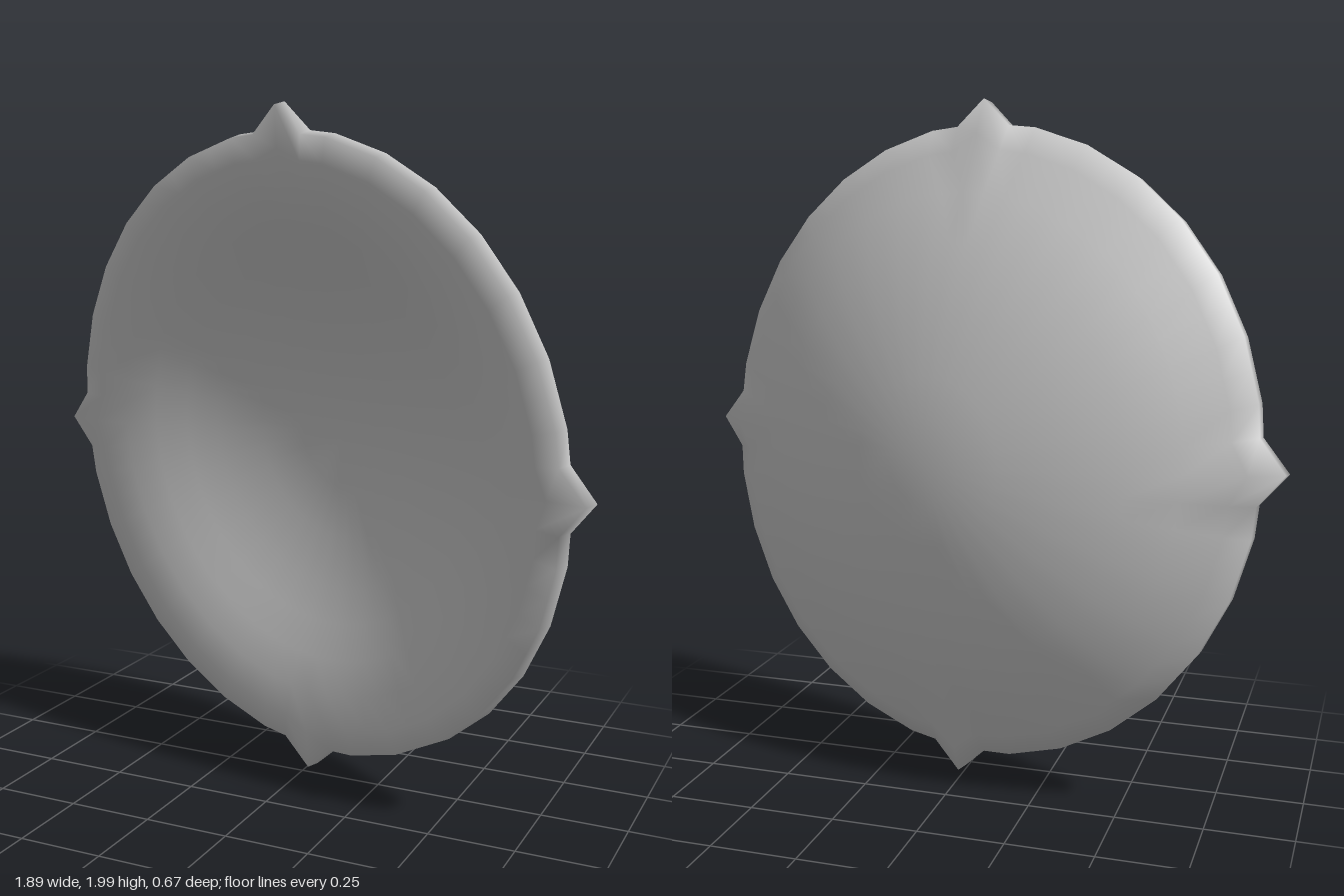
import * as THREE from 'three';
import { mergeVertices } from 'three/addons/utils/BufferGeometryUtils.js';

// Dish profile as [radius, height along the axis]: back skin from the pole to the rim ...
const BACK = [
  [0, -0.317], [0.12, -0.313], [0.24, -0.299], [0.42, -0.262], [0.6, -0.204], [0.74, -0.136], [0.86, -0.066],
];
// ... then over the rim and the broad lip into the shallower hollow
const FRONT = [
  [0.93, -0.022], [0.922, 0.022],
  [0.85, 0.022], [0.75, 0.002], [0.65, -0.037], [0.55, -0.08], [0.45, -0.122], [0.3, -0.17], [0.15, -0.197], [0, -0.205],
];
const PROFILE = [...BACK, ...FRONT];
const SEGMENTS = 64;
// How far each rim ring is pulled out at the four points (profile index: factor)
const PULL = { 6: 1.05, 7: 1.075, 8: 1.078, 9: 1.03 };
// Sideways lean of the back skin per unit of depth
const LEAN = 0.11;

function dishGeometry() {
  const points = PROFILE.map(([r, h]) => new THREE.Vector2(r, h));
  const geo = new THREE.LatheGeometry(points, SEGMENTS);
  const pos = geo.attributes.position;
  const n = points.length;
  for (let i = 0; i <= SEGMENTS; i++) {
    for (let j = 0; j < n; j++) {
      // Odd columns lie on the chords of a 32-sided outline; every 16th column is a pointed lug
      let k = i % 2 ? Math.cos(Math.PI / 32) : 1;
      if (i % 16 === 0 && PULL[j]) k = PULL[j];
      const lean = j < BACK.length ? LEAN * PROFILE[j][1] : 0;
      const v = i * n + j;
      pos.setX(v, pos.getX(v) * k * 0.98 + lean);
      pos.setZ(v, pos.getZ(v) * k - lean);
    }
  }
  // Weld the seam and poles so the shading is continuous
  geo.deleteAttribute('normal');
  geo.deleteAttribute('uv');
  const welded = mergeVertices(geo, 1e-5);
  welded.rotateX(Math.PI / 2);
  welded.computeVertexNormals();
  return welded;
}

export function createModel() {
  const group = new THREE.Group();
  group.name = 'dish';
  const material = new THREE.MeshStandardMaterial({ color: 0xcccccc, side: THREE.DoubleSide });

  // Hollow bowl with four rim points, its open side tilted away from straight ahead
  const bowl = new THREE.Mesh(dishGeometry(), material);
  bowl.name = 'bowlWithRimPoints';
  const facing = new THREE.Vector3(-0.29, -0.09, 1).normalize();
  bowl.quaternion.setFromUnitVectors(new THREE.Vector3(0, 0, 1), facing);
  bowl.position.set(0, 1, 0.037);
  group.add(bowl);
  return group;
}
